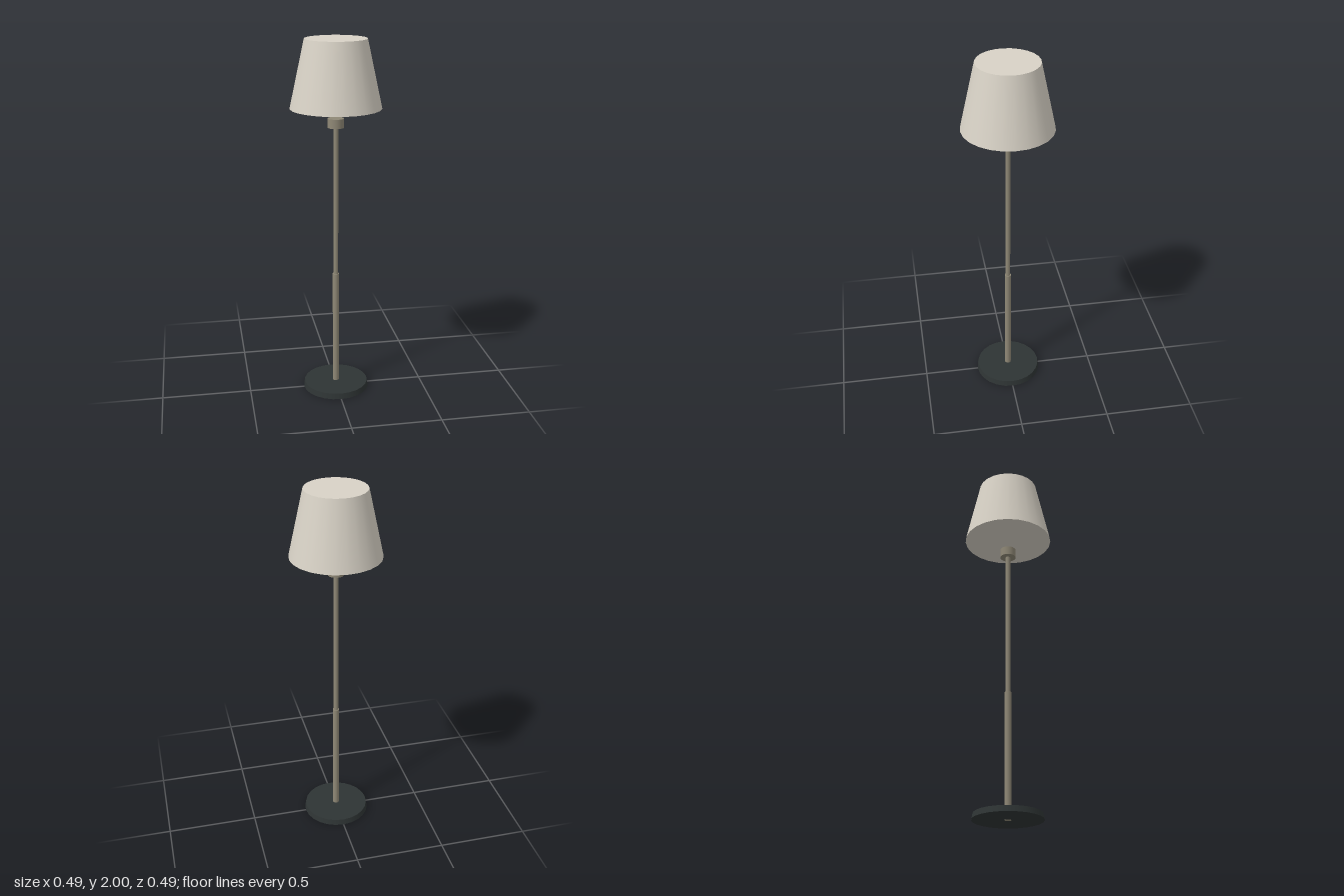
import * as THREE from 'three';

export function createModel() {
  const lamp = new THREE.Group();
  lamp.name = 'floorLamp';

  const material = (name, color) => {
    const m = new THREE.MeshStandardMaterial({ color });
    m.name = name;
    return m;
  };
  const linen = material('warm linen', 0xd8d2c6);
  const metal = material('brushed metal', 0x8f8876);
  const iron = material('dark iron', 0x2e3434);

  // Closed round part standing between two heights
  const addRound = (name, mat, bottomRadius, topRadius, y0, y1, sides = 24) => {
    const geometry = new THREE.CylinderGeometry(topRadius, bottomRadius, y1 - y0, sides);
    const mesh = new THREE.Mesh(geometry, mat);
    mesh.name = name;
    mesh.position.y = (y0 + y1) / 2;
    lamp.add(mesh);
  };

  // Weighted foot, slightly tapered; the pole shows through its underside
  addRound('base', iron, 0.187, 0.181, 0.001, 0.033);

  // Two-stage pole
  addRound('lowerPole', metal, 0.018, 0.018, 0, 0.695, 16);
  addRound('upperPole', metal, 0.0135, 0.0135, 0.69, 1.535, 16);

  // Bulb holder, with a gap below the shade
  addRound('socket', metal, 0.044, 0.044, 1.53, 1.58);

  // Tapered shade, capped at both ends
  addRound('shade', linen, 0.247, 0.167, 1.635, 2);

  return lamp;
}
